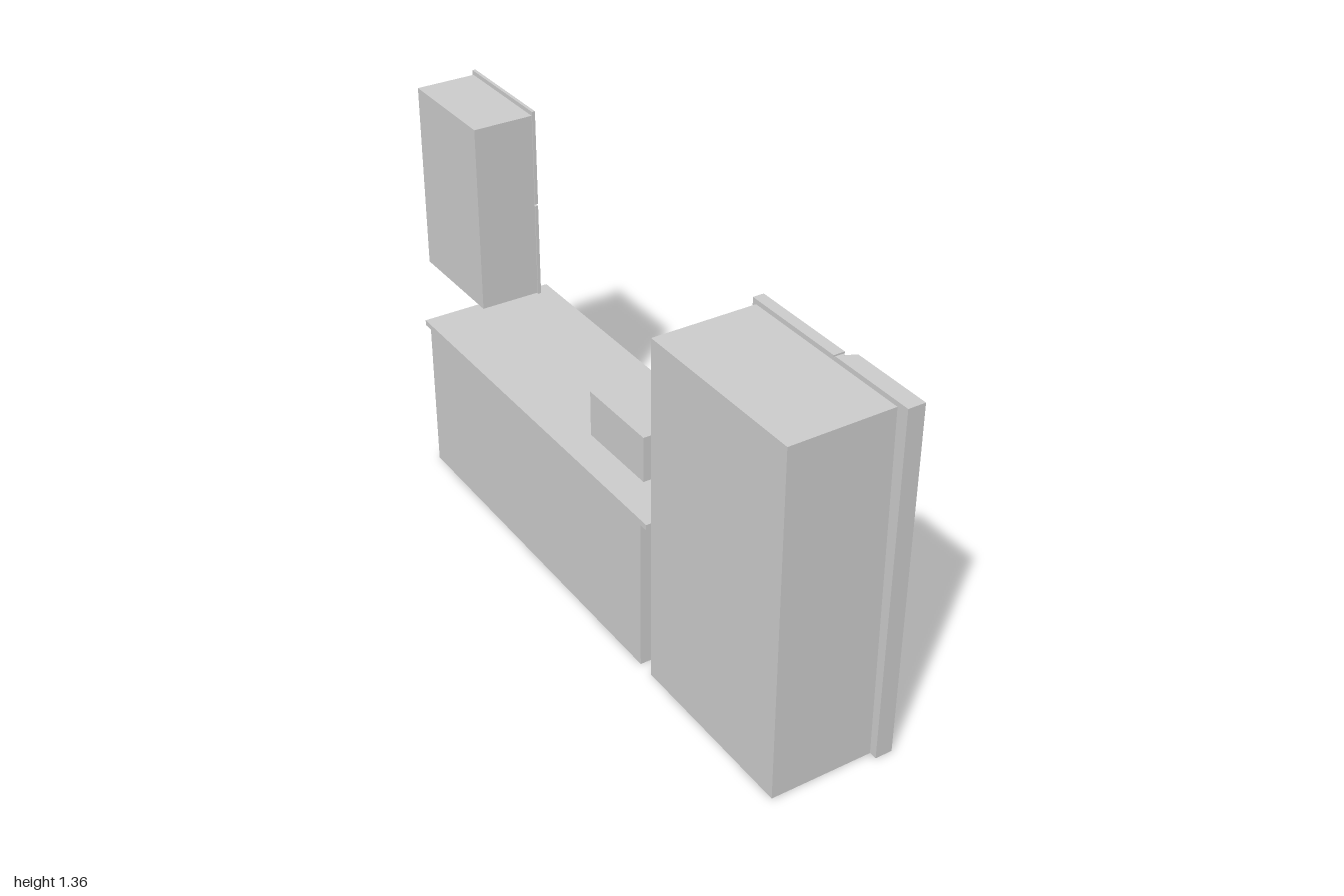
import * as THREE from 'three';

const material = (name, color) => {
  const m = new THREE.MeshStandardMaterial({ color });
  m.name = name;
  return m;
};

export function createModel() {
  const grey = material('light grey', 0xcccccc);
  const black = material('black', 0x0a0a0a);
  const model = new THREE.Group();

  const group = (name) => {
    const g = new THREE.Group();
    g.name = name;
    model.add(g);
    return g;
  };

  // Box given by its limits on each axis
  const box = (parent, name, mat, [x0, x1], [y0, y1], [z0, z1]) => {
    const mesh = new THREE.Mesh(new THREE.BoxGeometry(x1 - x0, y1 - y0, z1 - z0), mat);
    mesh.position.set((x0 + x1) / 2, (y0 + y1) / 2, (z0 + z1) / 2);
    mesh.name = name;
    parent.add(mesh);
    return mesh;
  };

  // Bar handle standing off a front at x; runs along y or z
  const handle = (parent, name, mat, axis, x, y, z, length, reach, thick) => {
    const g = new THREE.Group();
    g.name = name;
    g.position.set(x, y, z);
    if (axis === 'z') g.rotation.x = Math.PI / 2;
    const t = thick / 2, h = length / 2;
    const bar = Math.min(thick, 0.01);
    box(g, 'handleBar', mat, [reach - bar, reach], [-h, h], [-t, t]);
    for (const s of [-1, 1]) {
      const c = s * (h - bar / 2);
      box(g, 'handlePost', mat, [0, reach - bar], [c - bar / 2, c + bar / 2], [-t, t]);
    }
    parent.add(g);
  };

  // Refrigerator
  const fridge = group('refrigerator');
  box(fridge, 'fridgeBody', grey, [-0.225, 0.105], [0, 1.125], [0.36, 0.96]);
  box(fridge, 'fridgeDoor', grey, [0.105, 0.14], [0, 1.14], [0.345, 0.701]);

  // Thicker freezer door: outline drawn in (-z, y), pushed out along x
  const outline = new THREE.Shape([
    new THREE.Vector2(-0.985, 0), new THREE.Vector2(-0.705, 0),
    new THREE.Vector2(-0.705, 1.14), new THREE.Vector2(-1, 1.14),
  ]);
  const opening = new THREE.Path();
  const [u0, u1, v0, v1, r] = [-0.925, -0.81, 0.465, 0.735, 0.015];
  opening.moveTo(u0 + r, v0);
  opening.lineTo(u1 - r, v0);
  opening.quadraticCurveTo(u1, v0, u1, v0 + r);
  opening.lineTo(u1, v1 - r);
  opening.quadraticCurveTo(u1, v1, u1 - r, v1);
  opening.lineTo(u0 + r, v1);
  opening.quadraticCurveTo(u0, v1, u0, v1 - r);
  opening.lineTo(u0, v0 + r);
  opening.quadraticCurveTo(u0, v0, u0 + r, v0);
  outline.holes.push(opening);
  const doorGeo = new THREE.ExtrudeGeometry(outline, { depth: 0.055, bevelEnabled: false, curveSegments: 4 });
  const p = doorGeo.attributes.position;
  // Slope the inner edge back to meet the thinner door
  for (let i = 0; i < p.count; i++) {
    if (p.getX(i) > -0.71 && p.getZ(i) > 0.05) p.setX(i, -0.73);
  }
  doorGeo.computeVertexNormals();
  const freezerDoor = new THREE.Mesh(doorGeo, grey);
  freezerDoor.name = 'freezerDoor';
  freezerDoor.rotation.y = Math.PI / 2;
  freezerDoor.position.x = 0.105;
  fridge.add(freezerDoor);
  // Sloped strip between the two door thicknesses
  box(fridge, 'doorJoint', grey, [0.105, 0.135], [0, 1.135], [0.7, 0.708]);

  // Water dispenser
  box(fridge, 'dispenserBack', grey, [0.106, 0.115], [0.465, 0.58], [0.81, 0.925]);
  box(fridge, 'dispenserNicheTop', black, [0.106, 0.117], [0.575, 0.65], [0.811, 0.924]);
  box(fridge, 'dispenserPanel', black, [0.106, 0.161], [0.64, 0.733], [0.812, 0.923]);
  box(fridge, 'dispenserPaddle', grey, [0.117, 0.14], [0.61, 0.618], [0.84, 0.9]);

  handle(fridge, 'freezerHandle', grey, 'y', 0.155, 0.585, 0.747, 0.43, 0.031, 0.022);
  handle(fridge, 'fridgeHandle', grey, 'y', 0.138, 0.585, 0.665, 0.43, 0.03, 0.022);

  // Base cabinet with worktop
  const base = group('baseCabinet');
  box(base, 'baseBody', grey, [-0.225, 0.18], [0, 0.5], [-0.965, 0.305]);
  box(base, 'worktop', grey, [-0.225, 0.225], [0.497, 0.515], [-1, 0.335]);
  const rows = [[0.008, 0.163, 0.125], [0.171, 0.328, 0.295], [0.336, 0.49, 0.458]];
  for (const [z0, z1] of [[0.01, 0.3], [-0.96, -0.672]]) {
    for (const [y0, y1, hy] of rows) {
      box(base, 'drawerFront', grey, [0.18, 0.193], [y0, y1], [z0, z1]);
      handle(base, 'drawerHandle', black, 'z', 0.193, hy, (z0 + z1) / 2, 0.17, 0.024, 0.011);
    }
  }
  for (const [z0, z1, hz] of [[-0.328, 0.002, -0.282], [-0.664, -0.336, -0.376]]) {
    box(base, 'baseDoor', grey, [0.18, 0.193], [0.008, 0.49], [z0, z1]);
    handle(base, 'baseDoorHandle', black, 'y', 0.193, 0.375, hz, 0.17, 0.024, 0.016);
  }

  // Microwave
  const oven = group('microwave');
  box(oven, 'microwaveBody', grey, [-0.12, 0.088], [0.515, 0.665], [-0.135, 0.155]);
  box(oven, 'microwaveDoor', grey, [0.088, 0.095], [0.515, 0.665], [-0.087, 0.155]);
  box(oven, 'controlPanel', grey, [0.088, 0.095], [0.515, 0.665], [-0.135, -0.091]);
  box(oven, 'microwaveWindow', black, [0.094, 0.097], [0.535, 0.649], [-0.079, 0.13]);
  box(oven, 'microwaveDisplay', black, [0.094, 0.097], [0.608, 0.65], [-0.134, -0.092]);
  handle(oven, 'microwaveHandle', grey, 'y', 0.095, 0.592, -0.067, 0.095, 0.023, 0.01);

  // Wall cabinet
  const wall = group('wallCabinet');
  box(wall, 'wallBody', grey, [-0.225, -0.037], [0.758, 1.345], [-0.94, -0.583]);
  for (const [y0, y1, hy] of [[0.755, 1.053, 0.852], [1.059, 1.358, 1.148]]) {
    box(wall, 'wallDoor', grey, [-0.037, -0.027], [y0, y1], [-0.946, -0.58]);
    handle(wall, 'wallHandle', black, 'y', -0.027, hy, -0.628, 0.1, 0.019, 0.02);
  }

  return model;
}
